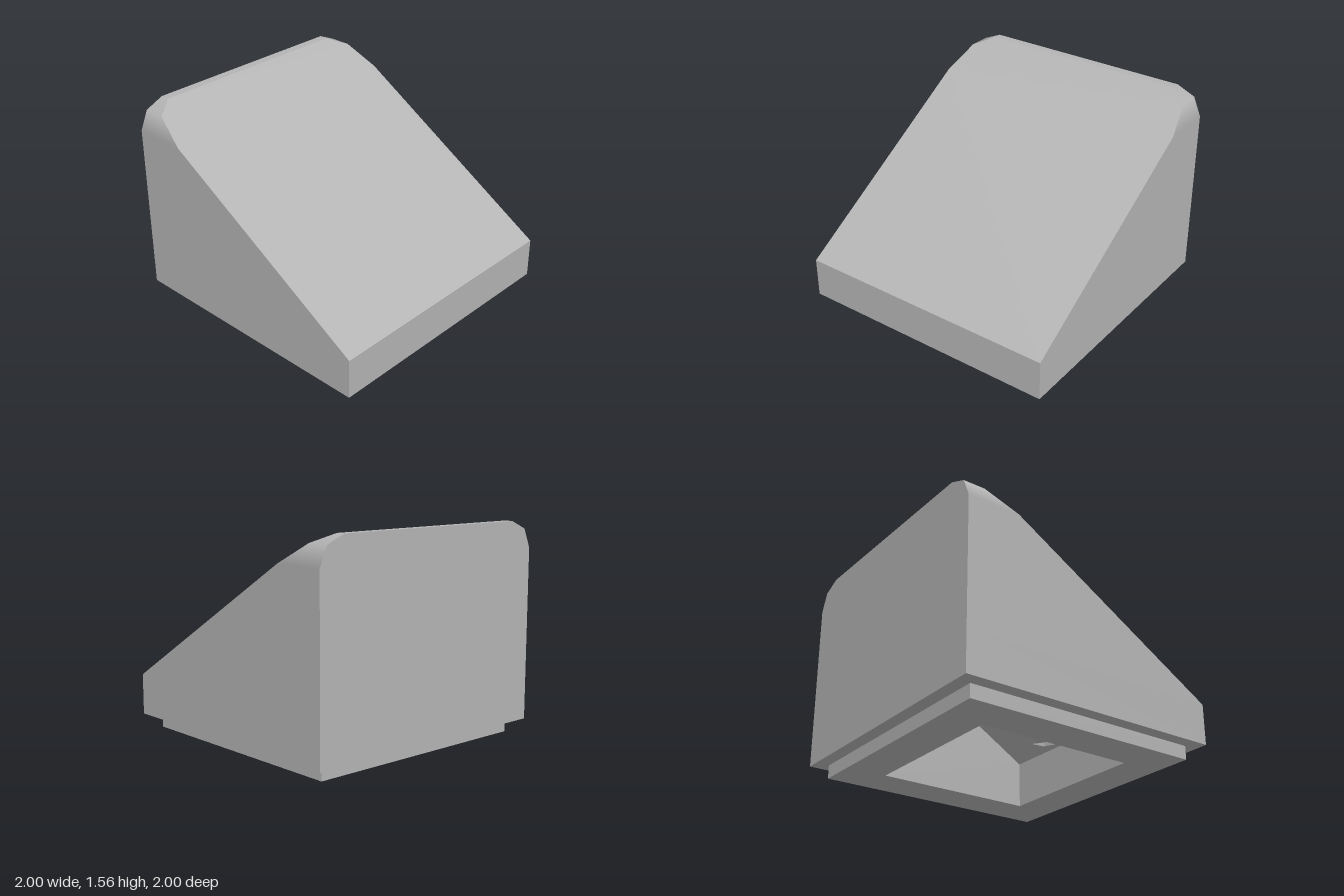
import * as THREE from 'three';

const grey = new THREE.MeshStandardMaterial({ color: 0xb4b4b4 });
grey.name = 'grey plastic';

const slopeY = (z) => 1 - 0.6 * z;      // outer slope
const ceilingY = (z) => 0.7 - 0.6 * z;  // sloped ceiling of the cavity
const square = (r) => [[r, r], [r, -r], [-r, -r], [-r, r]];

// Flat polygon with optional hole, each 2D point placed in space by a rule
function face(points, place, hole, flip = false) {
  const toVec = (list) => list.map(([u, v]) => new THREE.Vector2(u, v));
  const shape = new THREE.Shape(toVec(points));
  if (hole) shape.holes.push(new THREE.Path(toVec(hole)));
  const g = new THREE.ShapeGeometry(shape).toNonIndexed();
  const p = g.attributes.position;
  for (let i = 0; i < p.count; i++) p.setXYZ(i, ...place(p.getX(i), p.getY(i)));
  if (flip) {
    for (let i = 0; i < p.count; i += 3) {
      const a = [p.getX(i), p.getY(i), p.getZ(i)];
      p.setXYZ(i, p.getX(i + 1), p.getY(i + 1), p.getZ(i + 1));
      p.setXYZ(i + 1, ...a);
    }
  }
  g.computeVertexNormals();
  return g;
}

// Band of quads between two rows of points, flat unless normals are given
function band(rowA, rowB, normals) {
  const pos = [], nor = [];
  for (let i = 0; i + 1 < rowA.length; i++) {
    pos.push(...rowA[i], ...rowA[i + 1], ...rowB[i + 1], ...rowA[i], ...rowB[i + 1], ...rowB[i]);
    if (normals) for (const k of [i, i + 1, i + 1, i, i + 1, i]) nor.push(...normals[k]);
  }
  const g = new THREE.BufferGeometry();
  g.setAttribute('position', new THREE.Float32BufferAttribute(pos, 3));
  if (normals) g.setAttribute('normal', new THREE.Float32BufferAttribute(nor, 3));
  else g.computeVertexNormals();
  return g;
}

// Upright wall along a path in x and z
const wall = (path, bottom, top) => band(
  path.map(([x, z]) => [x, bottom(z), z]),
  path.map(([x, z]) => [x, top(z), z]));

export function createModel() {
  const model = new THREE.Group();
  const add = (name, geometry) => {
    const mesh = new THREE.Mesh(geometry, grey);
    mesh.name = name;
    model.add(mesh);
  };

  // Outline of the body: x, y and normal of the right half, then mirrored
  const d = Math.SQRT1_2;
  const half = [
    [1, 0.1, 1, 0], [1, 0.4, 1, 0], [1, 1.36, 1, 0], [0.94, 1.5, d, d], [0.8, 1.56, 0, 1],
  ];
  const outline = [...half, ...half.map(([x, y, nx, ny]) => [-x, y, -nx, ny]).reverse()];
  const frontZ = (y) => Math.min(1, (1 - y) / 0.6);

  add('sidesAndTop', band(
    outline.map(([x, y]) => [x, y, -1]),
    outline.map(([x, y]) => [x, y, frontZ(y)]),
    outline.map(([, , nx, ny]) => [nx, ny, 0])));
  add('backFace', face(outline, (x, y) => [x, y, -1], null, true));
  add('slope', face(outline.slice(1, -1), (x, y) => [x, y, frontZ(y)]));
  add('frontLip', face([[-1, 0.1], [1, 0.1], [1, 0.4], [-1, 0.4]], (x, y) => [x, y, 1]));

  // Underside and the inset foot
  const loop = (r) => [...square(r), [r, r]];
  add('bodyUnderside', face(square(1), (x, z) => [x, 0.1, z], square(0.9)));
  add('footSides', wall(loop(0.9), () => 0, () => 0.1));
  add('footUnderside', face(square(0.9), (x, z) => [x, 0, z], square(0.6)));

  // Square cavity with a ceiling parallel to the slope
  add('cavityWalls', wall(loop(0.6).reverse(), () => 0, ceilingY));

  // Round pocket cut into the low end of the ceiling, flat at y = 0.4
  const arc = [[0.31, 0.5], [0.23, 0.554], [0, 0.5995], [-0.23, 0.554], [-0.31, 0.5]];
  add('pocketWall', wall(arc, ceilingY, () => 0.4));
  add('pocketTop', face(arc, (x, z) => [x, 0.4, z]));
  add('cavityCeiling', face([
    [-0.6, -0.6], [0.6, -0.6], [0.6, 0.6], [0.001, 0.6],
    [0.23, 0.554], [0.31, 0.5], [-0.31, 0.5], [-0.23, 0.554],
    [-0.001, 0.6], [-0.6, 0.6],
  ], (x, z) => [x, ceilingY(z), z]));

  return model;
}
